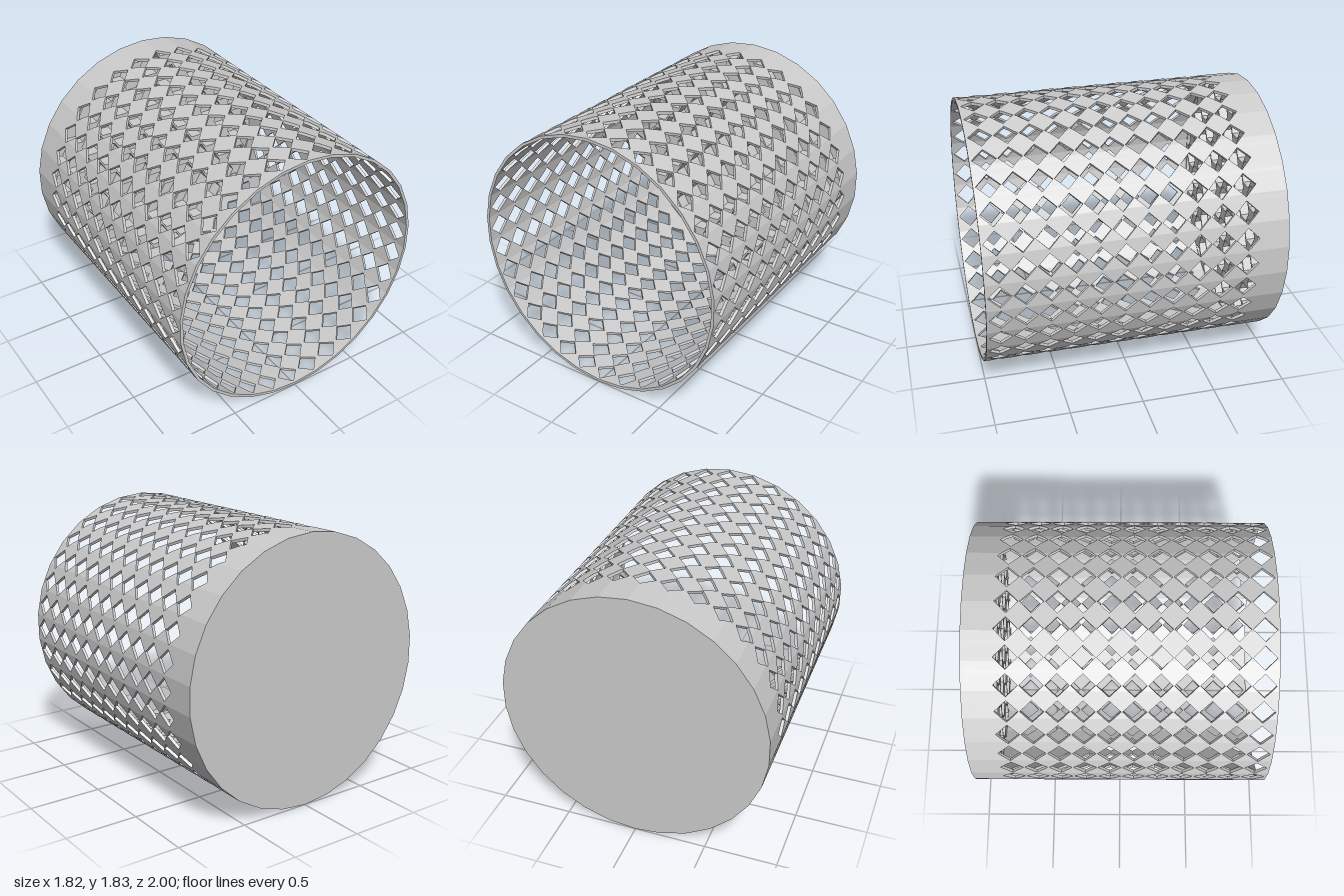
import * as THREE from 'three';

const SIDES = 30, COLS = 32, ROWS = 11;
const R = 0.913, WALL = 0.02, RIN = R - WALL;
const BACK = -1, PLATE = -0.98, FLOOR = -0.88, FRONT = 1;
const HOLE = 0.077, FIRST_ROW = -0.718, PITCH = 0.1625;
const STEP = (2 * Math.PI) / SIDES;

// point on a 30-sided prism around z, angle measured from the top towards +x
function onPrism(radius, a, z) {
  const d = a - (Math.floor(a / STEP + 1e-6) + 0.5) * STEP;
  const r = (radius * Math.cos(STEP / 2)) / Math.cos(d);
  return [Math.sin(a) * r, Math.cos(a) * r, z];
}

// tube pierced by a grid of diamonds: cut into slices where every border is straight
function wallGeometry() {
  const pos = [];
  const quad = (a, b, c, d) => pos.push(...a, ...b, ...c, ...a, ...c, ...d);
  const colStep = (2 * Math.PI) / COLS, halfAngle = HOLE / R;

  let cuts = [];
  for (let i = 0; i <= SIDES; i++) cuts.push(i * STEP);
  for (let j = 0; j <= COLS; j++)
    for (const k of [-1, 0, 1]) cuts.push(j * colStep + k * halfAngle);
  cuts = cuts.filter((a) => a > -1e-6 && a < 2 * Math.PI + 1e-6).sort((a, b) => a - b);
  cuts = cuts.filter((a, i) => i === 0 || a - cuts[i - 1] > 1e-6);

  const halfHeight = (a) => {
    const off = Math.abs(a - Math.round(a / colStep) * colStep);
    const h = HOLE * (1 - off / halfAngle);
    return h > 1e-6 ? h : 0;
  };

  for (let i = 0; i + 1 < cuts.length; i++) {
    const a = cuts[i], b = cuts[i + 1];
    const ha = halfHeight(a), hb = halfHeight(b);
    const pierced = ha + hb > 0;
    // ledge across the wall thickness, facing the front or the back
    const ledge = (za, zb, front) => {
      const p = [onPrism(R, a, za), onPrism(RIN, a, za), onPrism(RIN, b, zb), onPrism(R, b, zb)];
      quad(...(front ? p : p.reverse()));
    };
    let za = PLATE, zb = PLATE;
    const skin = (ta, tb) => {
      quad(onPrism(R, a, ta), onPrism(R, b, tb), onPrism(R, b, zb), onPrism(R, a, za));
      quad(onPrism(RIN, a, za), onPrism(RIN, b, zb), onPrism(RIN, b, tb), onPrism(RIN, a, ta));
    };
    for (let r = 0; pierced && r < ROWS; r++) {
      const zc = FIRST_ROW + r * PITCH;
      skin(zc - ha, zc - hb);
      ledge(zc - ha, zc - hb, true);
      za = zc + ha;
      zb = zc + hb;
      ledge(za, zb, false);
    }
    skin(FRONT, FRONT);
    ledge(FRONT, FRONT, true);
  }
  const g = new THREE.BufferGeometry();
  g.setAttribute('position', new THREE.Float32BufferAttribute(pos, 3));
  g.computeVertexNormals();
  return g;
}

// trim a convex polygon to the inside of a 30-sided outline
function clipToOutline(points, radius) {
  const apothem = radius * Math.cos(STEP / 2);
  for (let i = 0; i < SIDES; i++) {
    const n = new THREE.Vector2(Math.sin((i + 0.5) * STEP), Math.cos((i + 0.5) * STEP));
    const out = [];
    points.forEach((p, k) => {
      const q = points[(k + 1) % points.length];
      const dp = apothem - n.dot(p), dq = apothem - n.dot(q);
      if (dp >= 0) out.push(p);
      if (dp * dq < 0) out.push(p.clone().lerp(q, dp / (dp - dq)));
    });
    points = out;
  }
  return points;
}

// floor plate with staggered hexagonal pockets
function floorGeometry() {
  const ring = [];
  for (let i = 0; i < SIDES; i++) {
    const [x, y] = onPrism(RIN + 0.004, i * STEP, 0);
    ring.push(new THREE.Vector2(x, y));
  }
  const shape = new THREE.Shape(ring);
  const hexR = 0.093, cell = 0.128;
  for (let i = -7; i <= 7; i++) {
    for (let j = -7; j <= 7; j++) {
      if ((i + j) % 2 !== 0) continue;
      const hex = [];
      for (let k = 0; k < 6; k++) {
        const t = (k * Math.PI) / 3;
        hex.push(new THREE.Vector2(i * cell + hexR * Math.cos(t), j * cell + hexR * Math.sin(t)));
      }
      const pocket = clipToOutline(hex, RIN - 0.008);
      if (pocket.length > 2 && Math.abs(THREE.ShapeUtils.area(pocket)) > 0.001)
        shape.holes.push(new THREE.Path(pocket));
    }
  }
  return new THREE.ExtrudeGeometry(shape, { depth: FLOOR - PLATE, bevelEnabled: false });
}

export function createModel() {
  const group = new THREE.Group();
  group.name = 'perforatedCup';
  const material = new THREE.MeshStandardMaterial({ color: 0xcccccc, flatShading: true });
  const add = (name, geometry, z) => {
    const mesh = new THREE.Mesh(geometry, material);
    mesh.name = name;
    mesh.position.set(0, R, z);
    group.add(mesh);
  };

  add('perforatedWall', wallGeometry(), 0);

  // closed back end
  const plate = new THREE.CylinderGeometry(R, R, PLATE - BACK, SIDES);
  plate.rotateX(Math.PI / 2);
  add('basePlate', plate, (BACK + PLATE) / 2);

  add('honeycombFloor', floorGeometry(), PLATE);
  return group;
}
